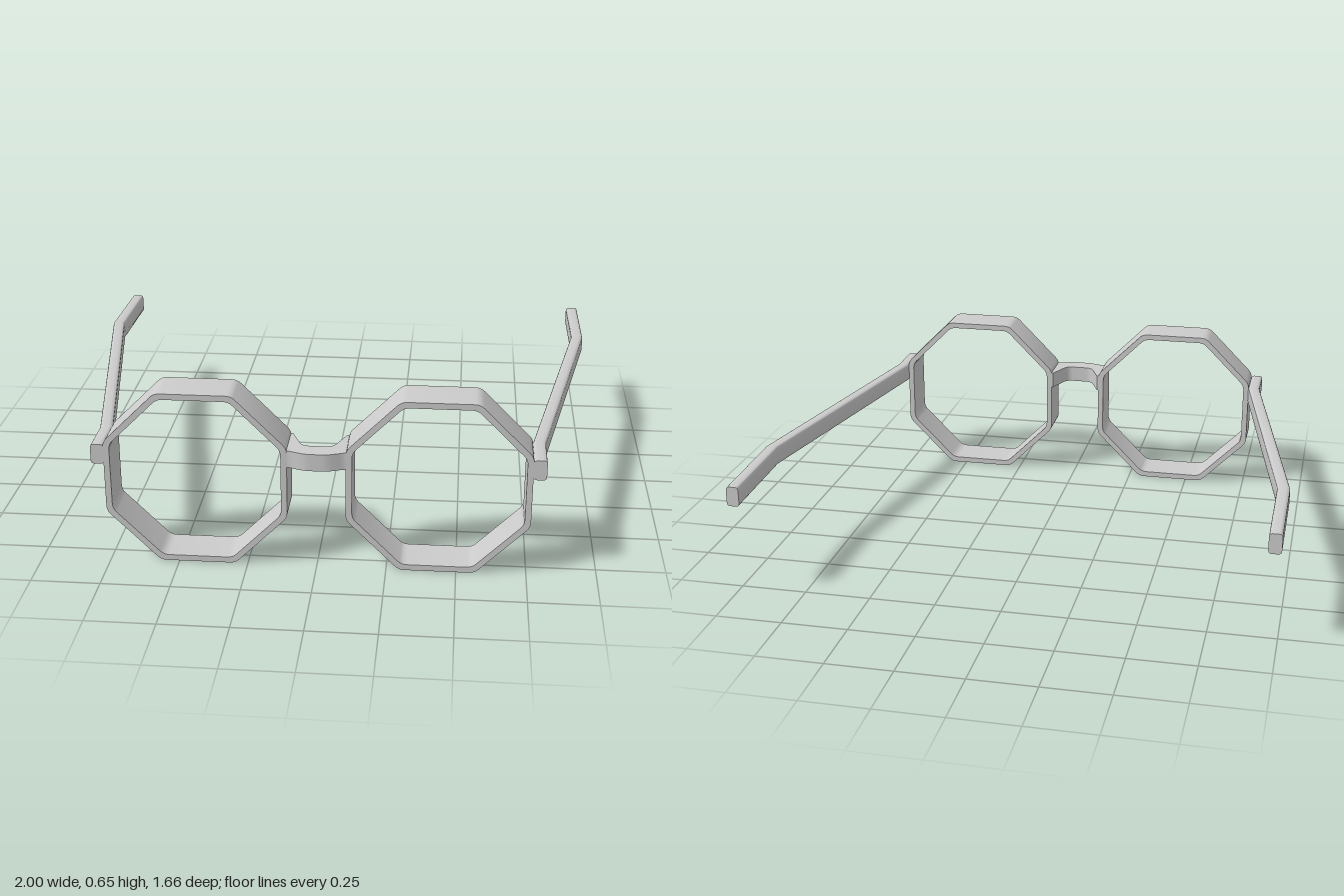
import * as THREE from 'three';
import { toCreasedNormals } from 'three/addons/utils/BufferGeometryUtils.js';

const material = new THREE.MeshStandardMaterial({ color: 0xcccccc });
const CREASE = 0.5;

// Closed outline through the given corners, each corner rounded by cut length r
function roundedOutline(corners, r, target = new THREE.Shape()) {
  const n = corners.length;
  corners.forEach((c, i) => {
    const toward = (q) => c.clone().add(q.clone().sub(c).setLength(r));
    const a = toward(corners[(i + n - 1) % n]);
    const b = toward(corners[(i + 1) % n]);
    if (i === 0) target.moveTo(a.x, a.y);
    else target.lineTo(a.x, a.y);
    target.quadraticCurveTo(c.x, c.y, b.x, b.y);
  });
  target.closePath();
  return target;
}

// Regular octagon with flat sides at the given distance from its centre
function octagon(apothem) {
  const radius = apothem / Math.cos(Math.PI / 8);
  return Array.from({ length: 8 }, (_, i) => {
    const a = Math.PI / 8 + (i * Math.PI) / 4;
    return new THREE.Vector2(radius * Math.cos(a), radius * Math.sin(a));
  });
}

function makeMesh(name, geometry) {
  const mesh = new THREE.Mesh(toCreasedNormals(geometry, CREASE), material);
  mesh.name = name;
  return mesh;
}

// Deep octagonal ring
function rim(side) {
  const shape = roundedOutline(octagon(0.327), 0.02);
  shape.holes.push(roundedOutline(octagon(0.305), 0.02, new THREE.Path()));
  const geometry = new THREE.ExtrudeGeometry(shape, { depth: 0.156, bevelEnabled: false, curveSegments: 4 });
  geometry.translate(side * 0.431, 0.329, 0.654);
  return makeMesh(side > 0 ? 'leftRim' : 'rightRim', geometry);
}

// Arched bridge that flares at the back to meet the rims, drawn from above
function bridge() {
  const s = new THREE.Shape();
  s.moveTo(-0.108, 0.654);
  s.lineTo(-0.098, 0.654);
  s.lineTo(-0.066, 0.731);
  s.quadraticCurveTo(-0.055, 0.758, -0.03, 0.758);
  s.lineTo(0.03, 0.758);
  s.quadraticCurveTo(0.055, 0.758, 0.066, 0.731);
  s.lineTo(0.098, 0.654);
  s.lineTo(0.108, 0.654);
  s.lineTo(0.108, 0.808);
  s.lineTo(0.098, 0.808);
  s.bezierCurveTo(0.06, 0.822, 0.045, 0.83, 0.02, 0.83);
  s.lineTo(-0.02, 0.83);
  s.bezierCurveTo(-0.045, 0.83, -0.06, 0.822, -0.098, 0.808);
  s.lineTo(-0.108, 0.808);
  s.closePath();
  const geometry = new THREE.ExtrudeGeometry(s, { depth: 0.064, bevelEnabled: false, curveSegments: 6 });
  geometry.rotateX(Math.PI / 2); // shape y becomes z, depth runs down
  geometry.translate(0, 0.455, 0);
  return makeMesh('bridge', geometry);
}

// Temple arm: a rounded rectangle swept through bends [x, y, z]
function temple(side) {
  const w = 0.0235, h = 0.0375;
  const corners = [[-w, -h], [w, -h], [w, h], [-w, h]].map(([x, y]) => new THREE.Vector2(x, y));
  const ring = roundedOutline(corners, 0.013).getPoints(4);
  if (ring[0].distanceTo(ring[ring.length - 1]) < 1e-6) ring.pop();
  const stations = [
    [0.781, 0.416, 0.808],
    [0.781, 0.416, 0.65],
    [0.9765, 0.416, -0.44],
    [0.9765, 0.402, -0.83],
  ];
  const n = ring.length;
  const positions = [];
  const index = [];
  const tri = (a, b, c) => (side > 0 ? index.push(a, b, c) : index.push(a, c, b));
  for (const [x, y, z] of stations) {
    for (const p of ring) positions.push(side * (x + p.x), y + p.y, z);
  }
  for (let k = 0; k < stations.length - 1; k++) {
    for (let i = 0; i < n; i++) {
      const j = (i + 1) % n;
      const a = k * n + i, b = k * n + j;
      tri(a, a + n, b);
      tri(b, a + n, b + n);
    }
  }
  // End caps
  const last = (stations.length - 1) * n;
  for (let i = 1; i < n - 1; i++) {
    tri(0, i, i + 1);
    tri(last, last + i + 1, last + i);
  }
  const geometry = new THREE.BufferGeometry();
  geometry.setAttribute('position', new THREE.Float32BufferAttribute(positions, 3));
  geometry.setIndex(index);
  return makeMesh(side > 0 ? 'leftTemple' : 'rightTemple', geometry);
}

export function createModel() {
  const group = new THREE.Group();
  group.name = 'eyeglasses';
  for (const side of [1, -1]) group.add(rim(side), temple(side));
  group.add(bridge());
  return group;
}
